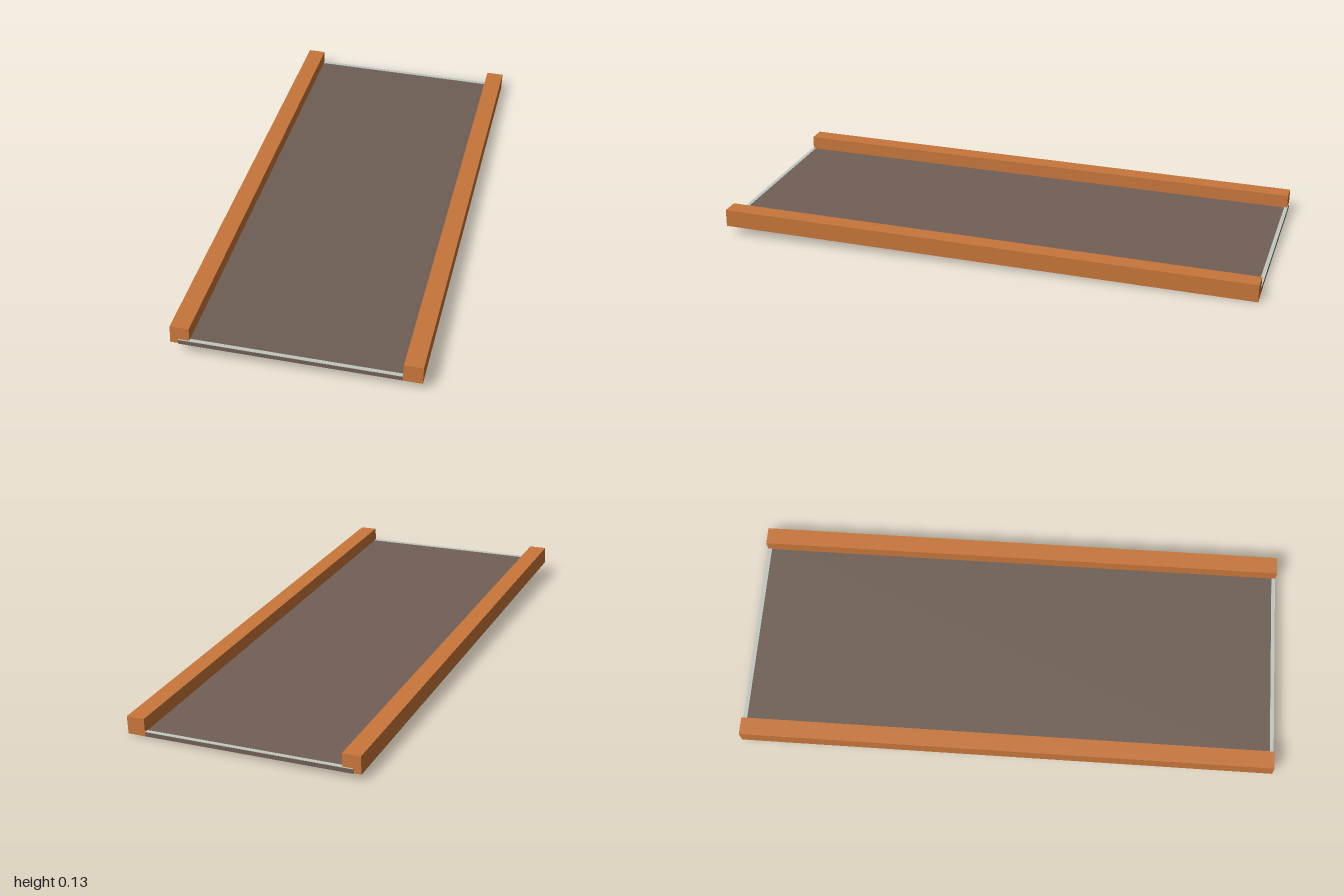
import * as THREE from 'three';

const mat = (name, color) => {
  const m = new THREE.MeshStandardMaterial({ color });
  m.name = name;
  return m;
};

export function createModel() {
  const wood = mat('orange wood', 0xc8763a);
  const brown = mat('brown deck', 0x705f55);
  const pale = mat('pale trim', 0xc0c8c0);

  const model = new THREE.Group();
  model.name = 'railedRamp';

  // Everything is square to this frame, which leans gently sideways and backwards
  const ramp = new THREE.Group();
  ramp.name = 'tiltedRamp';
  ramp.rotation.set(-0.0187, 0, -0.029);
  ramp.position.y = 0.0318;
  model.add(ramp);

  const box = (name, material, w, h, d, x, bottom, z) => {
    const mesh = new THREE.Mesh(new THREE.BoxGeometry(w, h, d), material);
    mesh.name = name;
    mesh.position.set(x, bottom + h / 2, z);
    ramp.add(mesh);
  };

  // Deck slab, its underside a hair below the rails
  box('deck', brown, 0.8, 0.0156, 1.996, 0, -0.0006, 0);

  for (const s of [-1, 1]) {
    // Square side rails overlapping the deck edges
    box(s > 0 ? 'leftRail' : 'rightRail', wood, 0.066, 0.065, s > 0 ? 1.998 : 1.99, s * 0.395, 0, 0);
    // Thin trim across each end of the deck
    box(s > 0 ? 'frontTrim' : 'backTrim', pale, 0.8, 0.002, 0.014, 0, 0.015, s * 0.991);
  }

  return model;
}
